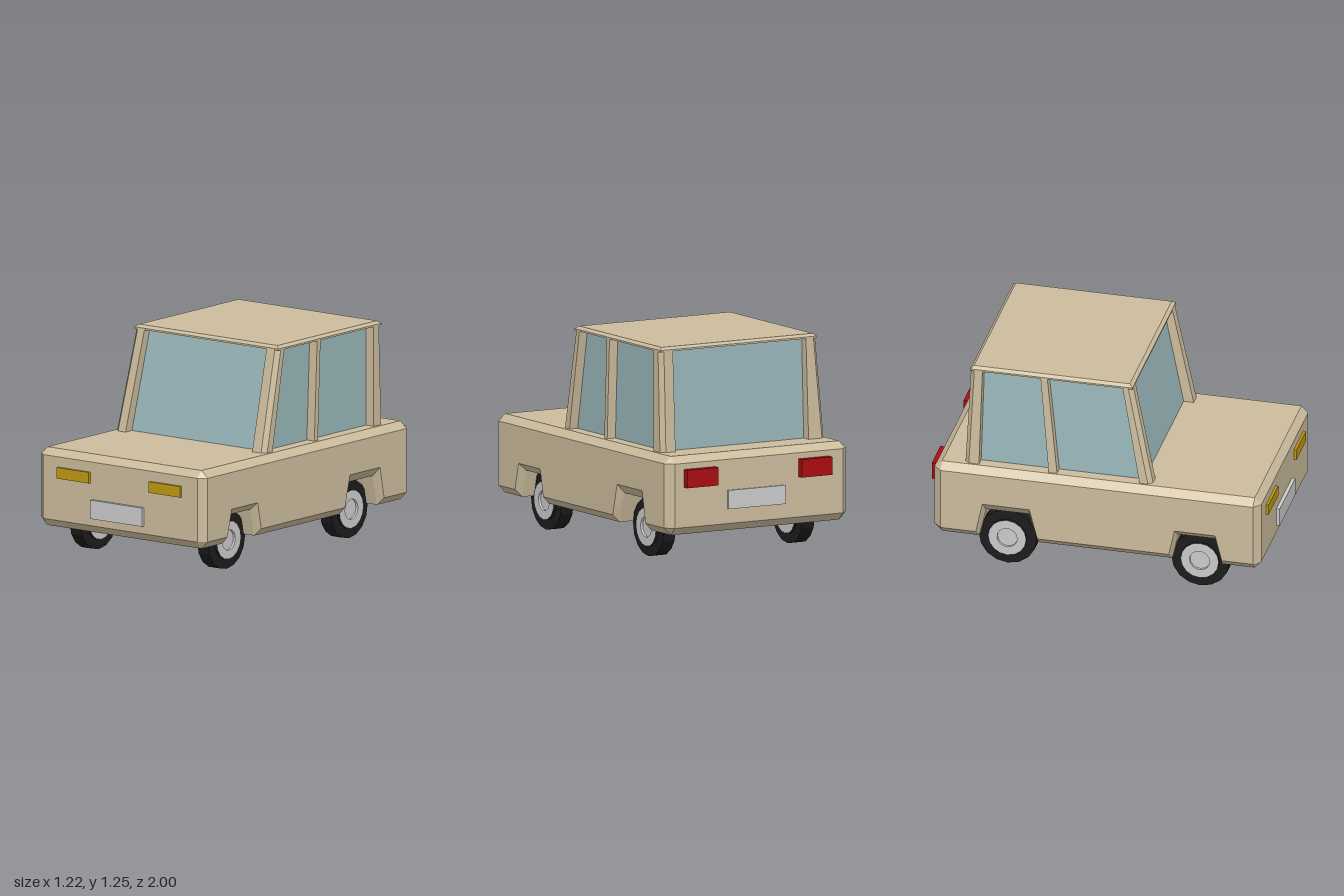
import * as THREE from 'three';
import { ConvexGeometry } from 'three/addons/geometries/ConvexGeometry.js';

const paint = (color) => new THREE.MeshStandardMaterial({ color, flatShading: true });
const V = (x, y, z) => new THREE.Vector3(x, y, z);

// Body shell: side outline lofted across x, with chamfered flanks and flared wheel arches
function bodyGeometry() {
  // [side face z, y, full-width z, y], running along the underside to the rear, then back over the top
  const outline = [
    [0.94, 0.225, 0.98, 0.225], [0.94, 0.225, 0.94, 0.18],
    [0.755, 0.225, 0.745, 0.18], [0.715, 0.383, 0.705, 0.34],
    [0.474, 0.383, 0.485, 0.34], [0.44, 0.225, 0.45, 0.18],
    [-0.34, 0.225, -0.345, 0.18], [-0.388, 0.41, -0.4, 0.357],
    [-0.667, 0.41, -0.655, 0.357], [-0.705, 0.225, -0.695, 0.18],
    [-0.915, 0.225, -0.915, 0.18], [-0.915, 0.225, -0.96, 0.225],
    [-0.915, 0.6, -0.96, 0.6], [-0.915, 0.6, -0.915, 0.64],
    [0.94, 0.6, 0.94, 0.64], [0.94, 0.6, 0.98, 0.6],
  ];
  const side = (x) => outline.map((p) => V(x, p[1], p[0]));
  const full = (x) => outline.map((p) => V(x, p[3], p[2]));
  const rings = [side(0.61), full(0.565), full(-0.565), side(-0.61)];
  const pts = [];
  const n = outline.length;
  for (let k = 0; k < 3; k++) {
    for (let i = 0; i < n; i++) {
      const j = (i + 1) % n;
      const a = rings[k][i], b = rings[k][j], c = rings[k + 1][j], d = rings[k + 1][i];
      pts.push(a, d, c, a, c, b);
    }
  }
  // Flat flanks, with the doubled corners removed
  const ids = outline.map((_, i) => i).filter((i) => {
    const p = outline[i], q = outline[(i + 1) % n];
    return p[0] !== q[0] || p[1] !== q[1];
  });
  const flat = ids.map((i) => new THREE.Vector2(-outline[i][0], outline[i][1]));
  for (const [a, b, c] of THREE.ShapeUtils.triangulateShape(flat, [])) {
    const [i, j, k] = [ids[a], ids[b], ids[c]];
    pts.push(rings[0][i], rings[0][j], rings[0][k]);
    pts.push(rings[3][i], rings[3][k], rings[3][j]);
  }
  const g = new THREE.BufferGeometry().setFromPoints(pts);
  g.computeVertexNormals();
  return g;
}

// Rectangular frustum; each level is [y, x0, x1, z0, z1]
const frustum = (...levels) => new ConvexGeometry(levels.flatMap(([y, x0, x1, z0, z1]) =>
  [V(x0, y, z0), V(x1, y, z0), V(x1, y, z1), V(x0, y, z1)]));

// Corner post with its outer edge chamfered; each level is [y, outerX, innerX, outerZ, innerZ]
const cornerPost = (...levels) => new ConvexGeometry(levels.flatMap(([y, ox, ix, oz, iz]) => {
  const cx = ox - Math.sign(ox) * 0.025;
  const cz = oz + Math.sign(iz - oz) * 0.025;
  return [V(ix, y, oz), V(cx, y, oz), V(ox, y, cz), V(ox, y, iz), V(ix, y, iz)];
}));

export function createModel() {
  const model = new THREE.Group();
  const tan = paint(0xccbc9d), glass = paint(0x99b6ba), black = paint(0x1c1c1c);
  const yellow = paint(0xbe9912), red = paint(0xaa0c10), grey = paint(0xcccccc);

  const add = (name, geometry, material, parent = model) => {
    const mesh = new THREE.Mesh(geometry, material);
    mesh.name = name;
    parent.add(mesh);
    return mesh;
  };
  const box = (name, material, x0, x1, y0, y1, z0, z1) =>
    add(name, new THREE.BoxGeometry(x1 - x0, y1 - y0, z1 - z0), material)
      .position.set((x0 + x1) / 2, (y0 + y1) / 2, (z0 + z1) / 2);

  add('body', bodyGeometry(), tan);

  // Cabin: slanted glass block, posts and a chamfered roof
  add('windows', frustum([0.63, -0.5, 0.49, -0.73, 0.27], [1.23, -0.46, 0.49, -0.715, 0.15]), glass);
  add('roof', frustum([1.225, -0.51, 0.545, -0.763, 0.2], [1.235, -0.51, 0.545, -0.763, 0.2],
    [1.25, -0.49, 0.525, -0.745, 0.18]), tan);
  const lo = 0.63, hi = 1.23;
  add('frontPostRight', cornerPost([lo, -0.555, -0.475, 0.33, 0.255], [hi, -0.51, -0.435, 0.2, 0.142]), tan);
  add('frontPostLeft', cornerPost([lo, 0.545, 0.455, 0.33, 0.255], [hi, 0.545, 0.46, 0.2, 0.142]), tan);
  add('rearPostRight', cornerPost([lo, -0.555, -0.44, -0.785, -0.7], [hi, -0.51, -0.435, -0.763, -0.69]), tan);
  add('rearPostLeft', cornerPost([lo, 0.545, 0.455, -0.785, -0.69], [hi, 0.545, 0.46, -0.763, -0.69]), tan);
  add('middlePostRight', frustum([lo, -0.555, -0.48, -0.285, -0.235], [hi, -0.51, -0.44, -0.345, -0.305]), tan);
  add('middlePostLeft', frustum([lo, 0.47, 0.545, -0.169, -0.137], [hi, 0.47, 0.545, -0.195, -0.163]), tan);

  // Lamps and plates
  box('headlightRight', yellow, -0.455, -0.22, 0.475, 0.54, 0.95, 0.995);
  box('headlightLeft', yellow, 0.22, 0.45, 0.475, 0.54, 0.95, 0.995);
  box('tailLightRight', red, -0.47, -0.265, 0.46, 0.565, -1, -0.94);
  box('tailLightLeft', red, 0.295, 0.505, 0.46, 0.565, -1, -0.94);
  box('frontPlate', grey, -0.205, 0.175, 0.27, 0.38, 0.95, 1);
  box('rearPlate', grey, -0.175, 0.21, 0.31, 0.42, -0.97, -0.94);

  // Wheels: tyre, protruding hub drum, grey hub ring with a sunken centre
  const lathe = (profile) =>
    new THREE.LatheGeometry(profile.map(([r, h]) => new THREE.Vector2(r, h)), 16).rotateZ(-Math.PI / 2);
  const tyre = lathe([[0, -0.04], [0.172, -0.04], [0.172, 0.04], [0, 0.04]]);
  const drum = lathe([[0.113, -0.057], [0.113, 0.057]]);
  const hub = lathe([[0.113, 0.057], [0.06, 0.057], [0.06, 0.042], [0, 0.042]]);
  for (const [end, z] of [['front', 0.608], ['rear', -0.535]]) {
    for (const [side, x] of [['Right', -0.4875], ['Left', 0.4475]]) {
      const wheel = new THREE.Group();
      wheel.name = `${end}Wheel${side}`;
      wheel.position.set(x, 0.172, z);
      add('tyre', tyre, black, wheel);
      add('hubDrum', drum, black, wheel);
      add('outerHub', hub, grey, wheel);
      add('innerHub', hub, grey, wheel).rotation.y = Math.PI;
      model.add(wheel);
    }
  }
  return model;
}
